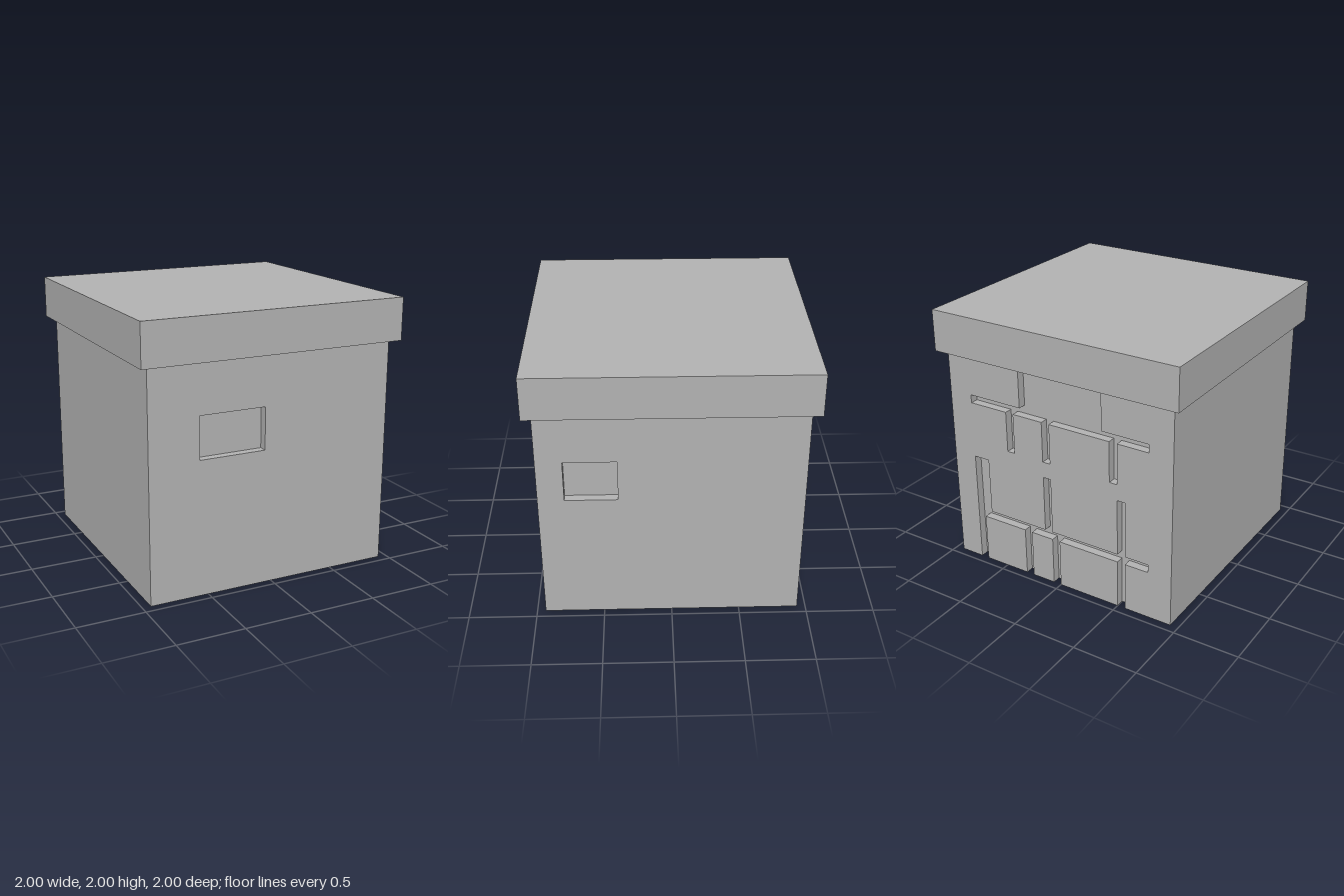
import * as THREE from 'three';

const U = 1 / 16;          // one grid cell
const W = 30, H = 27;      // wall size in cells
const LID_H = 5;

const plaster = new THREE.MeshStandardMaterial({ color: 0xb2b2b2, side: THREE.DoubleSide });
plaster.name = 'plaster grey';

// Sorted unique grid lines, so each wall is cut only where a recess begins or ends
const lines = (values) => [...new Set(values)].sort((a, b) => a - b);

// Thin wall facing +z with one-cell-deep recesses [col0, row0, col1, row1];
// recesses have a floor, side walls and a lower ledge, and stay open overhead
function wallGeometry(recesses) {
  const cols = lines([0, W, ...recesses.flatMap((r) => [r[0], r[2]])]);
  const rows = lines([0, H, ...recesses.flatMap((r) => [r[1], r[3]])]);
  const sunk = (i, j) => recesses.some(([c0, r0, c1, r1]) =>
    cols[i] >= c0 && cols[i] < c1 && rows[j] >= r0 && rows[j] < r1) ? 1 : 0;

  const pos = [];
  const quad = (...p) => [0, 1, 2, 0, 2, 3].forEach((k) => {
    const [c, r, d] = p[k];
    pos.push((c - W / 2) * U, r * U, (W / 2 - d) * U);
  });

  for (let i = 0; i < cols.length - 1; i++) {
    for (let j = 0; j < rows.length - 1; j++) {
      const [a, b, lo, hi] = [cols[i], cols[i + 1], rows[j], rows[j + 1]];
      const d = sunk(i, j);
      quad([a, lo, d], [b, lo, d], [b, hi, d], [a, hi, d]);
      // side walls between raised and sunk columns
      if (i > 0 && sunk(i - 1, j) !== d) {
        const e = 1 - d;
        quad([a, lo, e], [a, lo, d], [a, hi, d], [a, hi, e]);
      }
      // ledge at the foot of a recess
      if (j > 0 && d && !sunk(i, j - 1)) {
        quad([a, lo, 0], [b, lo, 0], [b, lo, 1], [a, lo, 1]);
      }
    }
  }
  const g = new THREE.BufferGeometry();
  g.setAttribute('position', new THREE.Float32BufferAttribute(pos, 3));
  g.computeVertexNormals();
  return g;
}

// Joints between the stones of the back wall
const joints = [
  [3, 6, 27, 7], [3, 21, 27, 22],                                  // level joints
  ...[3, 10, 14, 23].map((c) => [c, 0, c + 1, 6]),                 // bottom course
  [3, 7, 5, 14], [13, 7, 14, 14], [23, 7, 24, 14],                 // middle course
  ...[8, 13, 22].map((c) => [c, 16, c + 1, 21]),                   // upper course
  [10, 22, 21, 27],                                                // missing top stone
];

export function createModel() {
  const model = new THREE.Group();
  model.name = 'lidded box';

  // Four walls, each turned to its side
  const walls = [
    ['frontWall', 0, [[6, 16, 14, 21]]],
    ['rightWall', Math.PI / 2, [[3, 16, 9, 21]]],
    ['backWall', Math.PI, joints],
    ['leftWall', -Math.PI / 2, []],
  ];
  for (const [name, turn, recesses] of walls) {
    const wall = new THREE.Mesh(wallGeometry(recesses), plaster);
    wall.name = name;
    wall.rotation.y = turn;
    model.add(wall);
  }

  // Overhanging lid, open underneath
  const lidGeo = new THREE.BoxGeometry(2, LID_H * U, 2);
  const index = Array.from(lidGeo.index.array);
  index.splice(18, 6); // drop the underside
  lidGeo.setIndex(index);
  lidGeo.clearGroups();
  const lid = new THREE.Mesh(lidGeo, plaster);
  lid.name = 'lid';
  lid.position.y = (H + LID_H / 2) * U;
  model.add(lid);

  return model;
}
